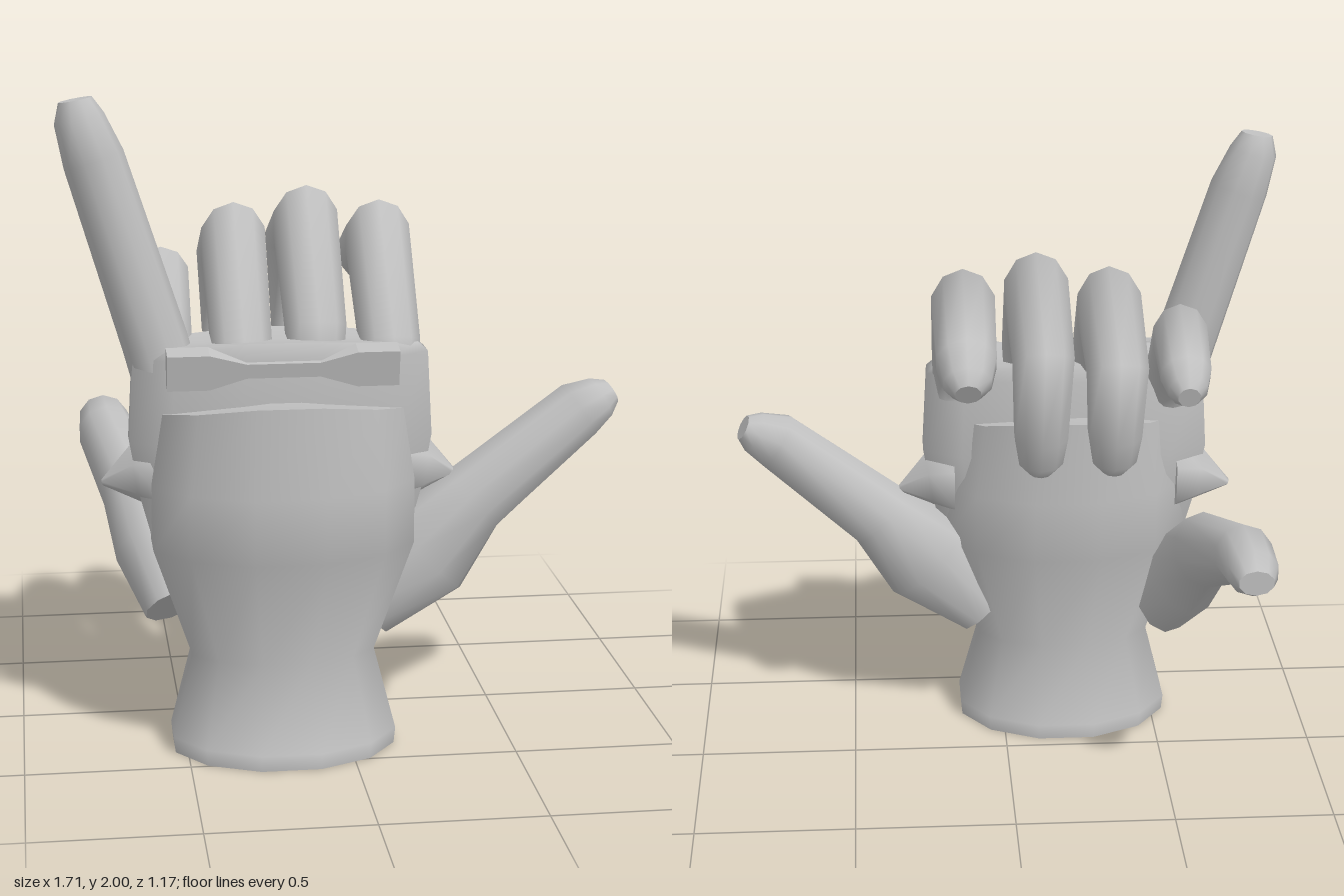
import * as THREE from 'three';

const V = (x, y, z) => new THREE.Vector3(x, y, z);
const X = V(1, 0, 0), Z = V(0, 0, 1);

// Skin a list of equal rings; ends may be capped
function loft(rings, capStart, capEnd) {
  const n = rings[0].length, pts = rings.flat(), idx = [];
  for (let i = 0; i < rings.length - 1; i++) {
    for (let j = 0; j < n; j++) {
      const a = i * n + j, b = i * n + (j + 1) % n;
      idx.push(a, b, b + n, a, b + n, a + n);
    }
  }
  const cap = (ring, flip) => {
    const mid = ring.reduce((s, p) => s.add(p), V(0, 0, 0)).divideScalar(n);
    const c = pts.length;
    pts.push(mid, ...ring);
    for (let j = 0; j < n; j++) {
      const a = c + 1 + j, b = c + 1 + (j + 1) % n;
      idx.push(c, flip ? b : a, flip ? a : b);
    }
  };
  if (capStart) cap(rings[0], true);
  if (capEnd) cap(rings[rings.length - 1], false);
  const g = new THREE.BufferGeometry().setFromPoints(pts);
  g.setIndex(idx);
  g.computeVertexNormals();
  return g;
}

// Jointed limb: points are [x, y, z, radius along side, other radius], mitred at bends
function limb(points, side, n = 10) {
  const P = points.map(p => V(p[0], p[1], p[2]));
  const rings = P.map((p, i) => {
    const d0 = P[i].clone().sub(P[Math.max(i - 1, 0)]).normalize();
    const d1 = P[Math.min(i + 1, P.length - 1)].clone().sub(p).normalize();
    const T = d0.clone().add(d1).normalize();
    const B = T.clone().cross(side).normalize();
    const A = B.clone().cross(T);
    const mitre = 1 / Math.max(T.dot(i ? d0 : d1), 0.7);
    const [ra, rb = ra] = points[i].slice(3);
    return Array.from({ length: n }, (_, j) => {
      const t = (j + 0.5) / n * Math.PI * 2;
      return p.clone().addScaledVector(A, ra * Math.cos(t)).addScaledVector(B, rb * mitre * Math.sin(t));
    });
  });
  return loft(rings, true, true);
}

// Upright body: sections are [y, centre x, half width, centre z, half depth, arch]
function body(sections, capStart, capEnd, n = 12) {
  return loft(sections.map(([y, cx, hx, cz, hz, arch = 0]) =>
    Array.from({ length: n }, (_, j) => {
      const t = (j + 0.5) / n * Math.PI * 2, c = Math.cos(t);
      return V(cx + hx * c, y - arch * c * c, cz - hz * Math.sin(t));
    })), capStart, capEnd);
}

export function createModel() {
  const group = new THREE.Group();
  const grey = new THREE.MeshStandardMaterial({ color: 0xc0c0c0, side: THREE.DoubleSide });
  grey.name = 'plain grey';
  const add = (name, geometry) => {
    const m = new THREE.Mesh(geometry, grey);
    m.name = name;
    group.add(m);
    return m;
  };

  // Wrist and palm, open at the cuff
  add('palm', body([
    [0, -0.2, 0.35, 0.305, 0.27],
    [0.05, -0.2, 0.355, 0.305, 0.275],
    [0.3, -0.2, 0.29, 0.295, 0.172],
    [0.65, -0.2, 0.41, 0.31, 0.287],
    [0.85, -0.2, 0.41, 0.31, 0.287],
    [1.125, -0.2, 0.375, 0.305, 0.275, 0.06],
  ], false, true));

  // Wider, flatter shell that carries the fingers
  add('knuckleShell', body([
    [0.6, -0.2, 0.39, 0.27, 0.1],
    [0.8, -0.2, 0.445, 0.27, 0.14],
    [0.97, -0.2, 0.475, 0.27, 0.17],
    [1.23, -0.2, 0.46, 0.28, 0.16],
    [1.285, -0.2, 0.43, 0.28, 0.13, 0.03],
  ], true, true));

  // Bow-shaped plate over the knuckles
  const bow = new THREE.Shape([
    [-0.345, -0.055], [-0.22, -0.055], [-0.11, -0.02], [0.11, -0.02], [0.22, -0.055], [0.345, -0.055],
    [0.345, 0.055], [0.22, 0.055], [0.11, 0.025], [-0.11, 0.025], [-0.22, 0.055], [-0.345, 0.055],
  ].map(([x, y]) => new THREE.Vector2(x, y)));
  const plate = add('knucklePlate', new THREE.ExtrudeGeometry(bow, { depth: 0.07, bevelEnabled: false }));
  plate.position.set(-0.205, 1.22, 0.375);
  plate.rotation.x = 0.2;

  // Pointed joint covers on both sides
  for (const s of [-1, 1]) {
    add('sideJoint', limb([
      [-0.2 + s * 0.36, 0.86, 0.25, 0.12],
      [-0.2 + s * 0.44, 0.86, 0.25, 0.09],
      [-0.2 + s * 0.54, 0.83, 0.24, 0.01],
    ], Z, 6));
  }

  // Three curled fingers: x, height offset, reach offset, has a hanging tip
  for (const [x, dy, dz, hanging] of [[0.135, 0, 0, false], [-0.09, 0.05, -0.03, true], [-0.315, 0, 0, true]]) {
    const tip = hanging
      ? [[x, 1.42 + dy, -0.285 + dz, 0.095, 0.09], [x, 1.2, -0.235, 0.085], [x, 1.11, -0.225, 0.07], [x, 1.07, -0.22, 0.035]]
      : [[x, 1.44, -0.24, 0.095], [x, 1.4, -0.32, 0.075], [x, 1.38, -0.355, 0.04]];
    add('curledFinger', limb([
      [x, 1.15, 0.25, 0.085],
      [x, 1.25 + dy, 0.26, 0.095],
      [x, 1.53 + dy, 0, 0.103, 0.1],
      ...tip,
    ], X));
  }

  // Short curled finger
  add('shortFinger', limb([
    [-0.54, 1.15, 0.22, 0.075],
    [-0.54, 1.22, 0.2, 0.085],
    [-0.54, 1.42, 0.02, 0.088, 0.08],
    [-0.54, 1.35, -0.14, 0.08],
    [-0.54, 1.32, -0.2, 0.062],
    [-0.54, 1.31, -0.235, 0.035],
  ], X));

  // Raised little finger
  add('raisedFinger', limb([
    [-0.535, 1.12, 0.27, 0.09, 0.1],
    [-0.575, 1.27, 0.27, 0.092, 0.1],
    [-0.745, 1.82, 0.27, 0.09, 0.092],
    [-0.785, 1.94, 0.265, 0.07, 0.075],
    [-0.795, 1.995, 0.265, 0.035, 0.05],
  ], Z));

  // Thumb stretched out to the side
  add('sideThumb', limb([
    [0.06, 0.4, 0.25, 0.09, 0.11],
    [0.24, 0.58, 0.25, 0.13, 0.175],
    [0.4, 0.74, 0.24, 0.105, 0.12],
    [0.73, 1.01, 0.235, 0.095, 0.095],
    [0.8, 1.045, 0.225, 0.07, 0.07],
    [0.835, 1.065, 0.22, 0.05, 0.04],
  ], Z));

  // Second thumb reaching backward
  add('backThumb', limb([
    [-0.53, 0.42, 0.21, 0.09, 0.12],
    [-0.59, 0.58, 0.09, 0.115, 0.15],
    [-0.63, 0.72, -0.05, 0.105, 0.12],
    [-0.705, 0.84, -0.35, 0.093, 0.09],
    [-0.71, 0.85, -0.51, 0.08, 0.075],
    [-0.71, 0.85, -0.585, 0.055, 0.04],
  ], X));

  return group;
}
